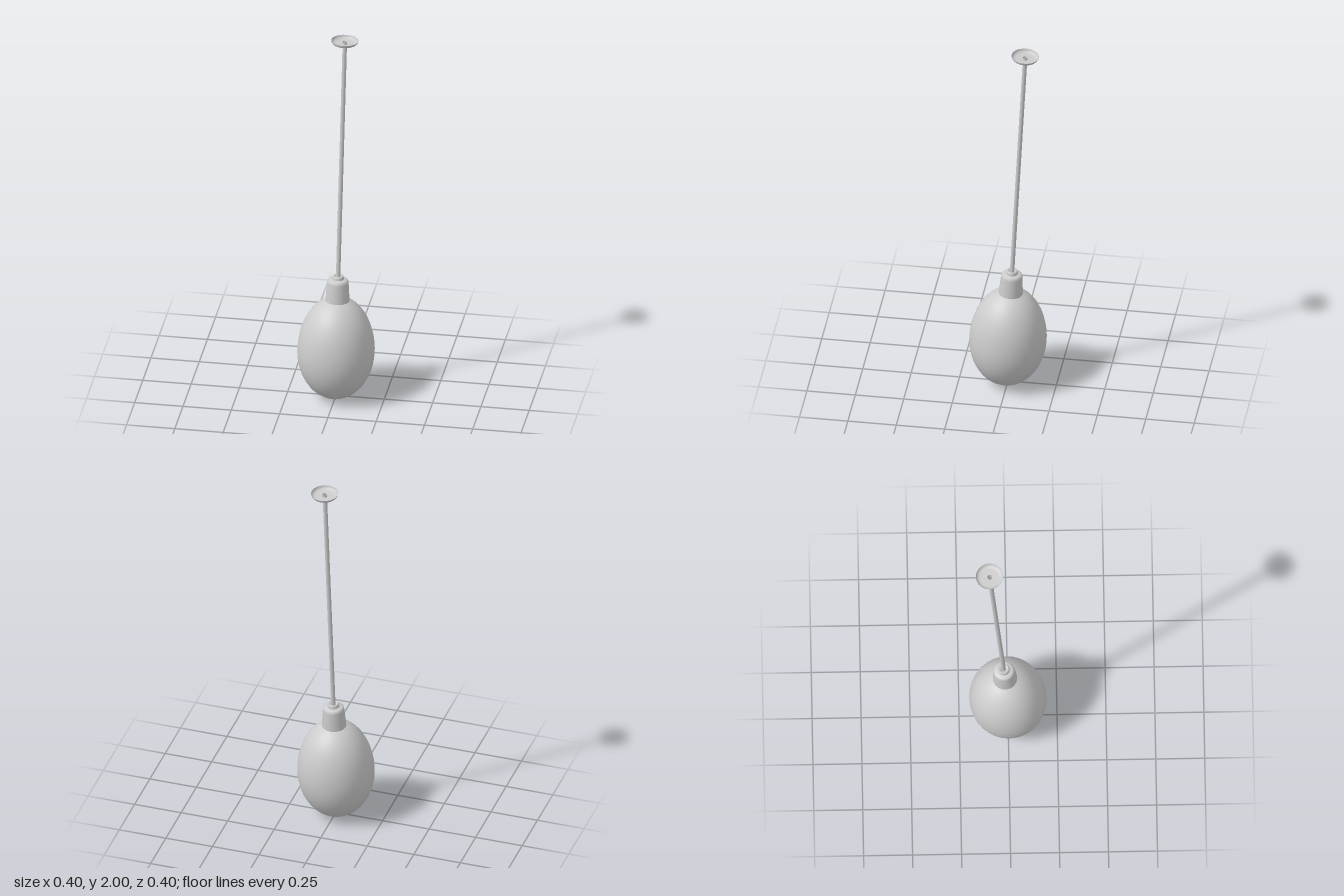
import * as THREE from 'three';

const material = new THREE.MeshStandardMaterial({ color: 0xcccccc, side: THREE.DoubleSide });

// Smooth surface of revolution from [radius, height] pairs
function turned(name, profile, sides) {
  const points = profile.map(([r, y]) => new THREE.Vector2(r, y));
  const mesh = new THREE.Mesh(new THREE.LatheGeometry(points, sides), material);
  mesh.name = name;
  return mesh;
}

export function createModel() {
  const model = new THREE.Group();
  model.name = 'pendantLamp';

  // Everything hangs on one slightly swung axis through the widest part of the shade
  const lamp = new THREE.Group();
  lamp.name = 'swingingLamp';
  lamp.position.y = 0.26;
  const axis = new THREE.Vector3(0.0173, 1, -0.054).normalize();
  lamp.quaternion.setFromUnitVectors(new THREE.Vector3(0, 1, 0), axis);
  model.add(lamp);

  // Egg-shaped shade: shorter below its widest ring, longer above
  const egg = [];
  const steps = 26;
  for (let i = 0; i <= steps; i++) {
    const a = -Math.PI / 2 + (i / steps) * Math.PI * 0.9;
    const height = Math.sin(a) * (a < 0 ? 0.26 : 0.297);
    egg.push([i === 0 ? 0 : 0.198 * Math.cos(a), height]);
  }
  lamp.add(turned('shade', egg, 32));

  // Tapered socket cover with a rounded shoulder and a small cord grip
  lamp.add(turned('socketCover', [
    [0.058, 0.274], [0.063, 0.275], [0.0625, 0.282], [0.059, 0.33],
    [0.055, 0.382], [0.053, 0.392], [0.047, 0.398], [0.036, 0.400], [0.030, 0.402],
  ], 20));
  lamp.add(turned('cordGrip', [
    [0.031, 0.399], [0.030, 0.412], [0.027, 0.419], [0.022, 0.420],
    [0.017, 0.416], [0.011, 0.412],
  ], 20));

  // Cord, an open tube
  const bottom = 0.40, top = 1.732;
  const cord = new THREE.Mesh(
    new THREE.CylinderGeometry(0.0115, 0.0115, top - bottom, 12, 1, true), material);
  cord.name = 'cord';
  cord.position.y = (bottom + top) / 2;
  lamp.add(cord);

  // Shallow ceiling cup, open at the top
  lamp.add(turned('ceilingCup', [
    [0.0115, 1.720], [0.045, 1.720], [0.057, 1.722], [0.064, 1.726],
    [0.068, 1.732], [0.070, 1.740],
  ], 20));

  return model;
}
